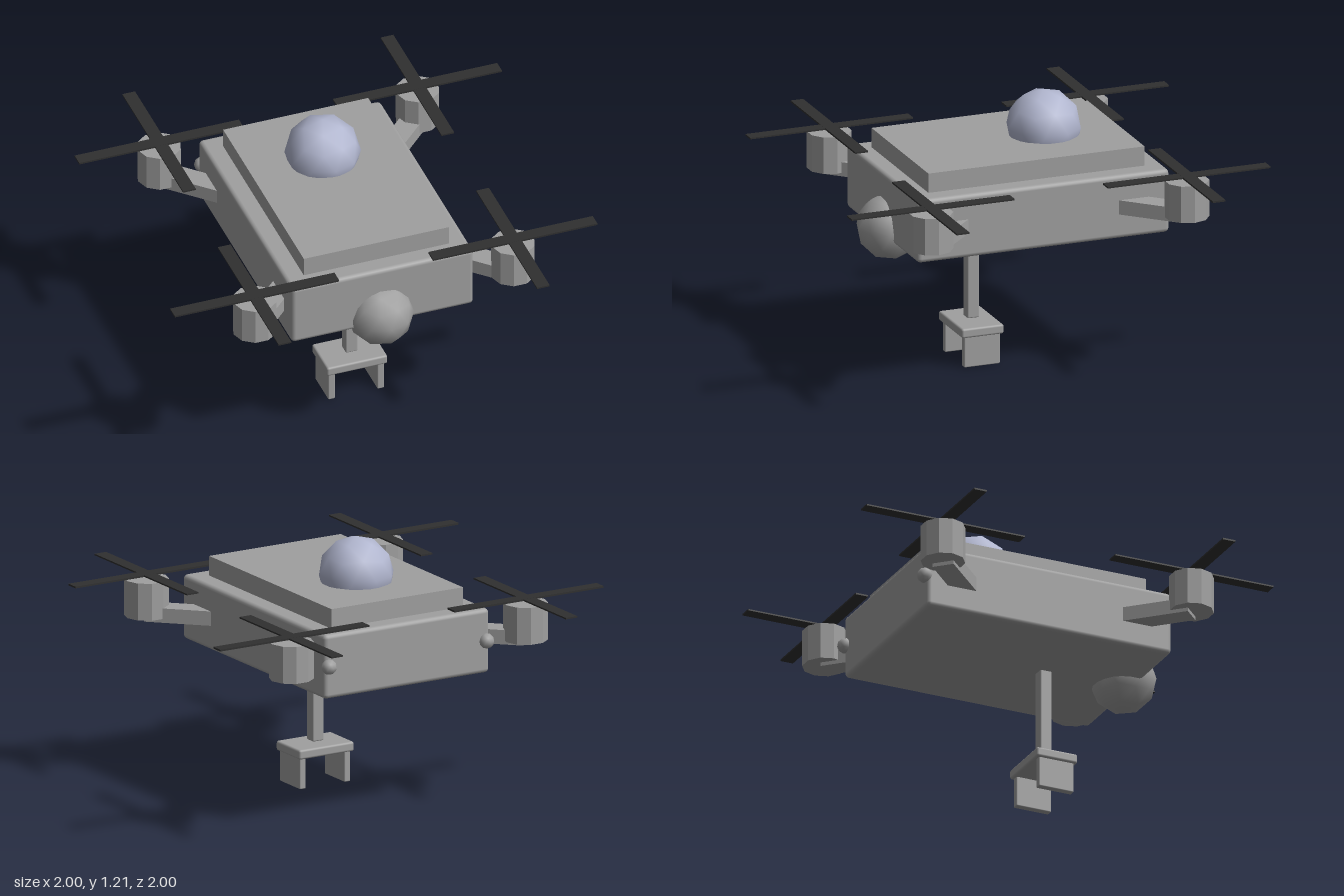
import * as THREE from 'three';
import { RoundedBoxGeometry } from 'three/addons/geometries/RoundedBoxGeometry.js';

export function createModel() {
  const model = new THREE.Group();
  model.name = 'quadcopter';

  const material = (name, color) => {
    const m = new THREE.MeshStandardMaterial({ color });
    m.name = name;
    return m;
  };
  const grey = material('shellGrey', 0xa0a0a0);
  const glass = material('domeBlueGrey', 0xb2b7d0);
  const dark = material('bladeDark', 0x303030);

  const add = (parent, name, geometry, mat, x = 0, y = 0, z = 0) => {
    const mesh = new THREE.Mesh(geometry, mat);
    mesh.name = name;
    mesh.position.set(x, y, z);
    parent.add(mesh);
    return mesh;
  };
  const rounded = (w, h, d, r) => new RoundedBoxGeometry(w, h, d, 2, r);

  // Coarse smooth ball with one corner pointing straight up
  const ball = (r) => {
    const g = new THREE.IcosahedronGeometry(r, 1);
    g.rotateZ(Math.atan(2 / (1 + Math.sqrt(5))));
    return g;
  };

  // Hull, top deck, dome and nose sensor
  add(model, 'body', rounded(0.86, 0.295, 1.2, 0.02), grey, 0, 0.7675, 0);
  add(model, 'topDeck', new THREE.BoxGeometry(0.685, 0.1, 1.03), grey, 0, 0.955, 0);
  add(model, 'dome', ball(0.17), glass, 0, 1.04, -0.17);
  add(model, 'noseSensor', ball(0.15), grey, 0, 0.66, 0.565);

  // Rear corner lamps
  for (const sx of [-1, 1]) add(model, 'rearLamp', ball(0.035), grey, sx * 0.41, 0.77, -0.605);

  // Faceted motor, decagon with corners on the x axis
  const motorGeometry = new THREE.CylinderGeometry(0.1, 0.1, 0.17, 10).toNonIndexed();
  motorGeometry.rotateY(Math.PI / 2);
  motorGeometry.computeVertexNormals();

  // Four rotor units: diagonal arm, motor and crossed blades
  const c = 0.61;
  const armLength = 0.42;
  for (const sx of [-1, 1]) {
    for (const sz of [-1, 1]) {
      const rotor = new THREE.Group();
      rotor.name = `${sz > 0 ? 'front' : 'back'}${sx > 0 ? 'Left' : 'Right'}Rotor`;
      rotor.position.set(sx * c, 0, sz * c);
      const inset = armLength / 2 / Math.SQRT2;
      const arm = add(rotor, 'arm', new THREE.BoxGeometry(0.1, 0.066, armLength), grey,
        -sx * inset, 0.766, -sz * inset);
      arm.rotation.y = sx * sz * Math.PI / 4;
      add(rotor, 'motor', motorGeometry, grey, 0, 0.835, 0);
      add(rotor, 'bladeAcross', new THREE.BoxGeometry(0.776, 0.008, 0.06), dark, 0, 0.94, 0);
      add(rotor, 'bladeAlong', new THREE.BoxGeometry(0.06, 0.007, 0.776), dark, 0, 0.94, 0);
      model.add(rotor);
    }
  }

  // Gripper hanging below the hull
  const gripper = new THREE.Group();
  gripper.name = 'gripper';
  gripper.position.z = 0.175;
  add(gripper, 'pole', rounded(0.056, 0.46, 0.056, 0.006), grey, 0, 0.42, 0);
  add(gripper, 'palm', rounded(0.286, 0.044, 0.2, 0.01), grey, 0, 0.162, 0);
  for (const sx of [-1, 1]) {
    add(gripper, 'finger', rounded(0.032, 0.15, 0.17, 0.005), grey, sx * 0.116, 0.075, 0);
  }
  model.add(gripper);

  return model;
}
